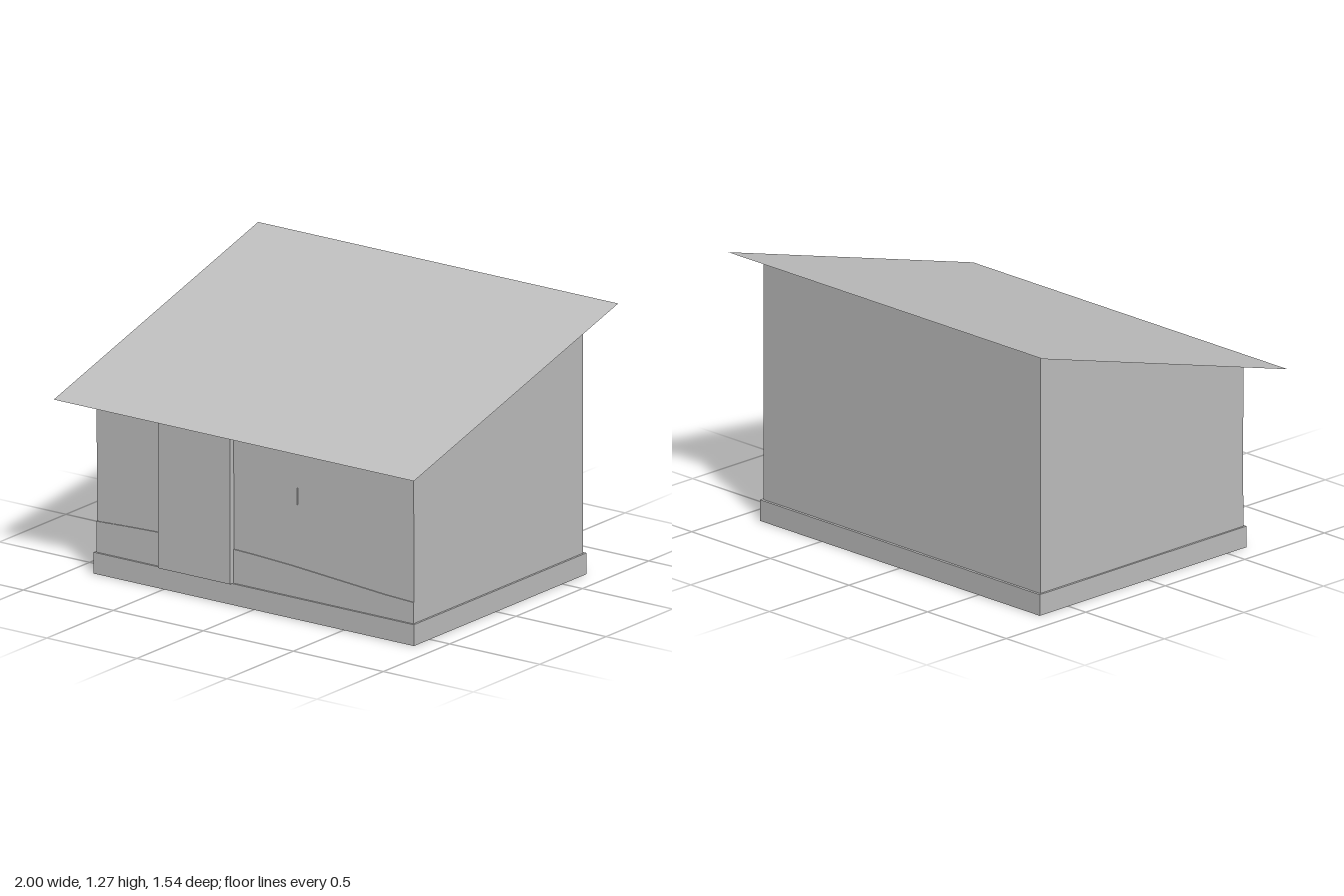
import * as THREE from 'three';

const roofY = (z) => 1.052 - 0.282 * z; // height of the sloping roof plane

export function createModel() {
  const model = new THREE.Group();
  const grey = new THREE.MeshStandardMaterial({ color: 0xbfbfbf });
  grey.name = 'plain grey';
  grey.side = THREE.DoubleSide;

  const add = (name, geometry) => {
    const mesh = new THREE.Mesh(geometry, grey);
    mesh.name = name;
    model.add(mesh);
    return mesh;
  };
  const extrude = (points, depth) => new THREE.ExtrudeGeometry(
    new THREE.Shape(points.map(([x, y]) => new THREE.Vector2(x, y))),
    { depth, bevelEnabled: false });

  // Walls: side profile (z, y) swept across the width
  const front = 0.606, back = -0.667, drop = 0.002;
  const walls = extrude([
    [back, 0.1], [front, 0.1], [front, roofY(front) - drop], [back, roofY(back) - drop],
  ], 1.76);
  walls.rotateY(-Math.PI / 2).translate(0.88, 0, 0);
  add('walls', walls);

  // Plinth: thin skirt, open underneath, closed by the floor on top
  const plinth = new THREE.BoxGeometry(1.78, 0.1, 1.3);
  const kept = Array.from(plinth.index.array).filter((_, i) => i < 18 || i >= 24);
  plinth.setIndex(kept);
  plinth.clearGroups();
  plinth.translate(0, 0.05, -0.03);
  add('plinth', plinth);

  // Roof: a single sloping sheet with overhang
  const roof = new THREE.PlaneGeometry(2, 1.54);
  roof.rotateX(-Math.PI / 2);
  const p = roof.attributes.position;
  for (let i = 0; i < p.count; i++) p.setY(i, roofY(p.getZ(i)));
  roof.computeVertexNormals();
  add('roof', roof);

  // Raised bands on the front wall
  const upper = extrude([
    [-0.88, 0.615], [0.15, 0.615], [0.15, 0.535], [0.235, 0.535],
    [0.235, 0.615], [0.88, 0.615], [0.88, 0.878], [-0.88, 0.878],
  ], 0.005);
  add('upperFrontBand', upper.translate(0, 0, front));

  const lower = extrude([
    [-0.88, 0.1], [0.88, 0.1], [0.88, 0.2], [0.72, 0.207], [0.2, 0.245],
    [0, 0.255], [-0.12, 0.259], [-0.52, 0.259], [-0.7, 0.253], [-0.88, 0.245],
  ], 0.005);
  add('lowerFrontBand', lower.translate(0, 0, front));

  // Door
  const door = new THREE.BoxGeometry(0.4, 0.72, 0.029);
  add('door', door.translate(-0.32, 0.46, 0.6205));

  return model;
}
